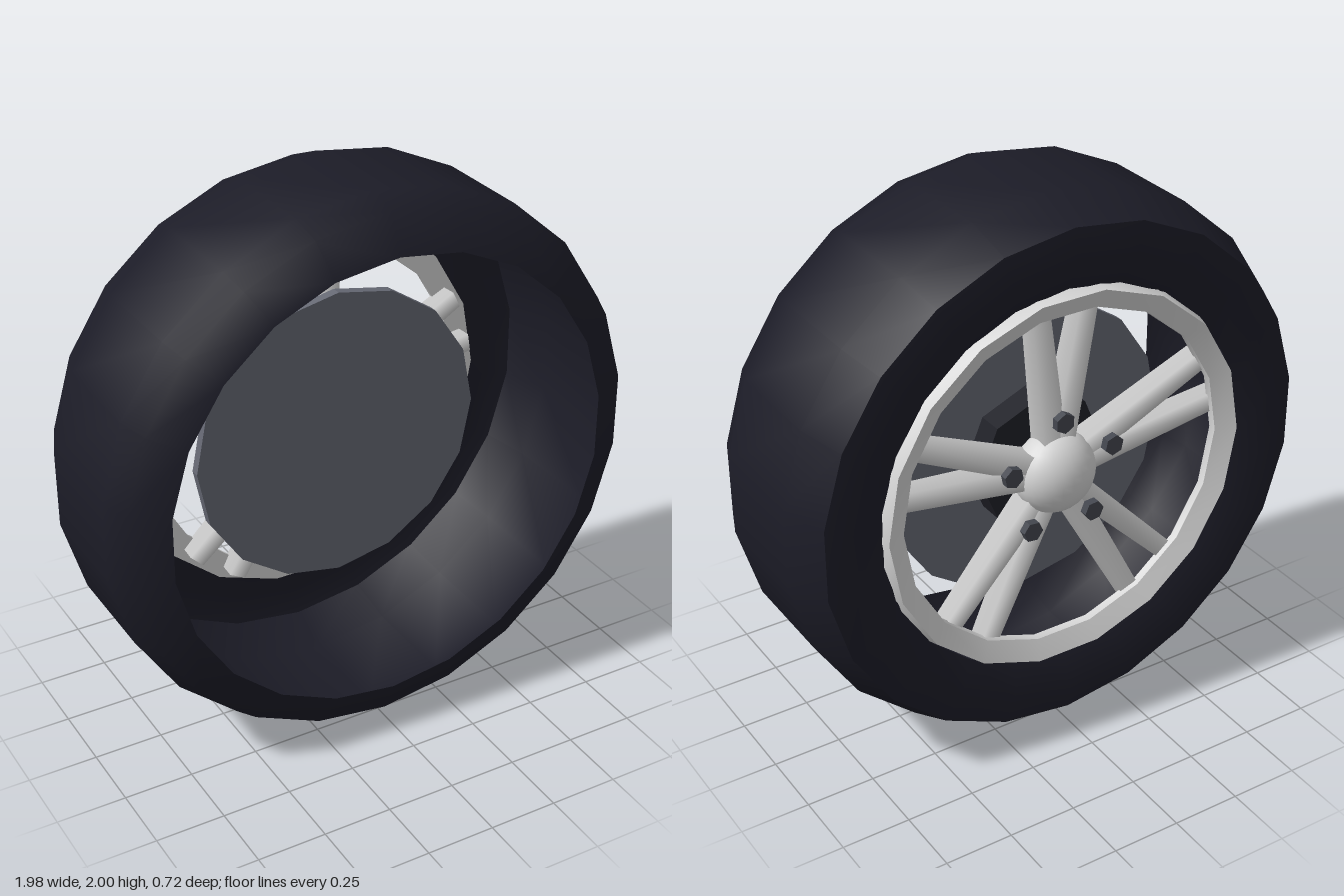
import * as THREE from 'three';
import { toCreasedNormals } from 'three/addons/utils/BufferGeometryUtils.js';

const mat = (name, color) => {
  const m = new THREE.MeshStandardMaterial({ color });
  m.name = name;
  return m;
};

export function createModel() {
  const rubber = mat('black rubber', 0x1c1c27);
  rubber.side = THREE.DoubleSide;
  const silver = mat('silver alloy', 0xd6d6d6);
  const steel = mat('grey steel', 0x676a75);
  const dark = mat('dark axle', 0x1f2027);
  const nutMetal = mat('dark nut metal', 0x44474f);

  const wheel = new THREE.Group();
  wheel.name = 'wheel';
  const add = (name, geometry, material, parent = wheel) => {
    const mesh = new THREE.Mesh(geometry, material);
    mesh.name = name;
    parent.add(mesh);
    return mesh;
  };

  // Profile of [radius, z] points turned about the z axis
  const turned = (points, sides, start, crease) => {
    const pts = points.map(([r, z]) => new THREE.Vector2(r, z));
    const g = new THREE.LatheGeometry(pts, sides, start).rotateX(Math.PI / 2);
    return toCreasedNormals(g, crease);
  };
  // Faceted cylinder along z between two depths
  const drum = (radius, z0, z1, sides) => toCreasedNormals(
    new THREE.CylinderGeometry(radius, radius, z1 - z0, sides)
      .rotateX(Math.PI / 2).translate(0, 0, (z0 + z1) / 2), 0.3);

  // Tyre: a thin open shell of rear wall, tread and front shoulder
  add('tire', turned([
    [0.71, -0.31], [0.83, -0.36], [0.935, -0.345], [1, -0.19], [1, 0.2],
    [0.96, 0.3], [0.83, 0.36],
  ], 22, 0, 0.8), rubber);

  // Bevelled rim ring
  add('rim', turned([
    [0.625, -0.285], [0.628, -0.312], [0.7, -0.345], [0.716, -0.285], [0.625, -0.285],
  ], 18, Math.PI / 18, 0.4), silver);

  // Brake disc and axle
  add('brakeDisc', drum(0.55, -0.065, -0.03, 16), steel);
  add('axle', drum(0.25, -0.16, -0.06, 8), dark);

  // Domed hub
  const hub = add('hub', new THREE.SphereGeometry(0.15, 24, 16), silver);
  hub.scale.z = 0.8;
  hub.position.z = -0.24;

  // Five pairs of tapered spokes, leaning back to the rim, with a nut between each pair
  const spokeShape = new THREE.CylinderGeometry(0.068 / Math.SQRT2, 0.088 / Math.SQRT2, 0.6, 4)
    .rotateY(Math.PI / 4).translate(0, 0.375, 0).rotateX(-0.06).translate(0, 0, -0.222);
  for (let i = 0; i < 5; i++) {
    const arm = new THREE.Group();
    arm.name = 'spokePair';
    arm.rotation.z = i * Math.PI * 2 / 5;
    wheel.add(arm);
    for (const side of [-1, 1]) {
      add('spoke', spokeShape, silver, arm).rotation.z = side * 0.147;
    }
    add('nut', drum(0.038, -0.305, -0.18, 6).translate(0, 0.212, 0), nutMetal, arm);
  }

  wheel.position.y = 1;
  const model = new THREE.Group();
  model.name = 'model';
  model.add(wheel);
  return model;
}
